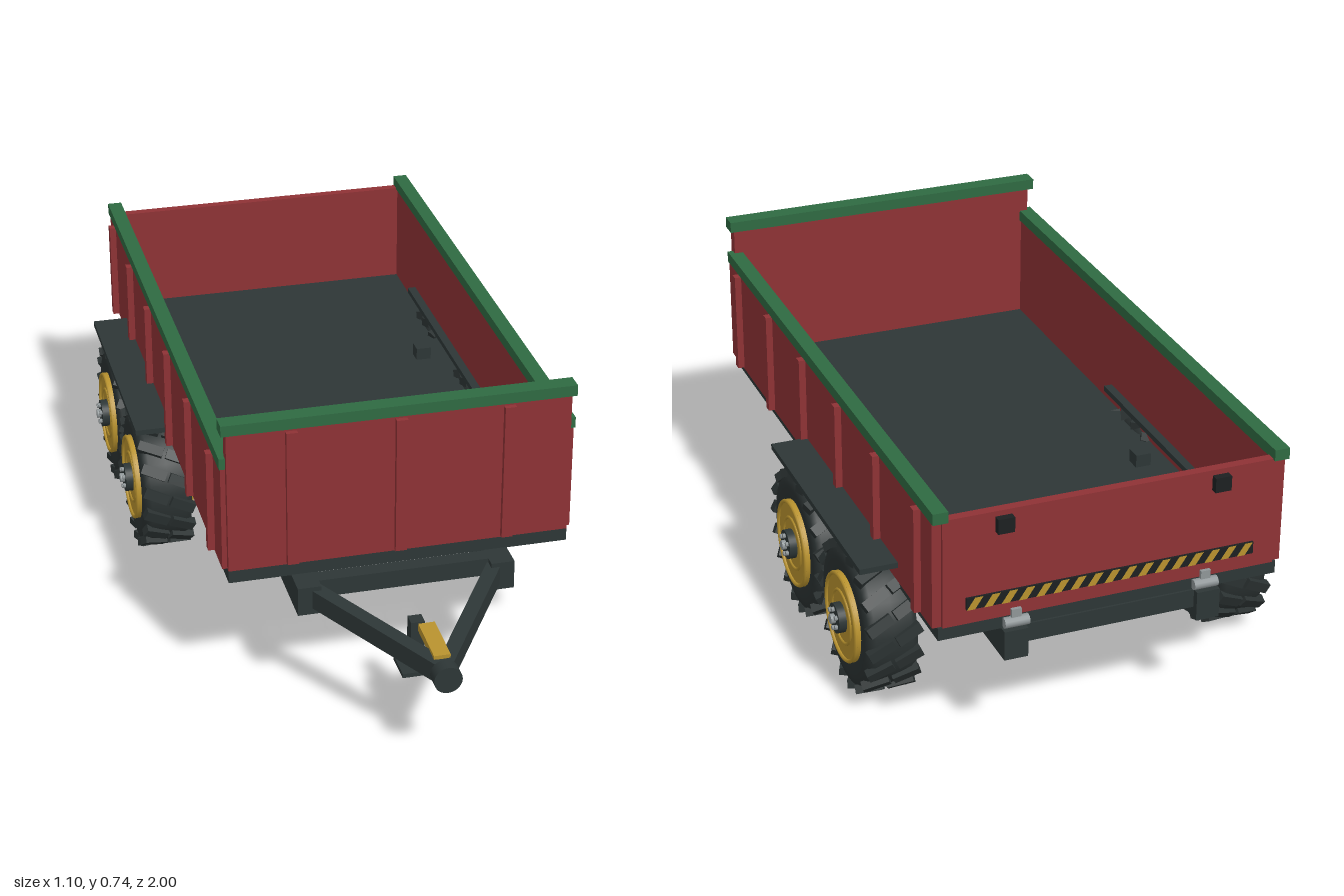
import * as THREE from 'three';

const mat = (name, color) => {
  const m = new THREE.MeshStandardMaterial({ color });
  m.name = name;
  return m;
};

export function createModel() {
  const red = mat('red panel', 0x8e3235), green = mat('green rail', 0x2f6a42);
  const dark = mat('dark frame', 0x2d3636), rubber = mat('tyre rubber', 0x2a3131);
  const gold = mat('gold yellow', 0xb8922e), steel = mat('steel grey', 0x8f9698);
  const black = mat('black fitting', 0x1c2021);
  const model = new THREE.Group();
  model.name = 'tipping trailer';

  const add = (name, geo, m, parent = model) => {
    const mesh = new THREE.Mesh(geo, m);
    mesh.name = name;
    parent.add(mesh);
    return mesh;
  };
  // Box given by its limits on each axis
  const box = (name, m, x0, x1, y0, y1, z0, z1, parent) => {
    const b = add(name, new THREE.BoxGeometry(x1 - x0, y1 - y0, z1 - z0), m, parent);
    b.position.set((x0 + x1) / 2, (y0 + y1) / 2, (z0 + z1) / 2);
    return b;
  };
  // Same box on both sides
  const pair = (name, m, x0, x1, ...r) => {
    box(name + 'Left', m, x0, x1, ...r);
    box(name + 'Right', m, -x1, -x0, ...r);
  };
  // Bar between two points
  const bar = (name, m, a, b, w, h) => {
    const p = new THREE.Vector3(...a), q = new THREE.Vector3(...b);
    const s = add(name, new THREE.BoxGeometry(w, h, p.distanceTo(q)), m);
    s.position.copy(p).lerp(q, 0.5);
    s.lookAt(q);
  };

  // Bed
  box('deck', dark, -0.42, 0.42, 0.315, 0.347, -0.975, 0.57);
  box('headboard', red, -0.42, 0.42, 0.345, 0.71, 0.54, 0.57);
  box('tailgate', red, -0.41, 0.41, 0.347, 0.62, -0.978, -0.955);
  pair('sideBoard', red, 0.402, 0.432, 0.347, 0.617, -0.97, 0.555);
  box('headboardRail', green, -0.432, 0.432, 0.71, 0.738, 0.528, 0.572);
  pair('sideRail', green, 0.398, 0.435, 0.617, 0.645, -0.985, 0.558);
  for (const x of [-0.265, 0, 0.265])
    box('headboardRib', red, x - 0.014, x + 0.014, 0.352, 0.705, 0.57, 0.583);
  for (let i = 0; i < 6; i++) {
    const z = 0.46 - i * 0.27;
    pair('sideRib', red, 0.43, 0.449, 0.352, 0.615, z - 0.011, z + 0.011);
  }

  // Rear fittings and hazard strip
  pair('tailgateLatch', black, 0.245, 0.285, 0.57, 0.607, -0.996, -0.975);
  box('hazardStrip', black, -0.355, 0.355, 0.385, 0.415, -0.984, -0.977);
  const n = 17, step = 0.71 / n;
  const slash = new THREE.Shape();
  slash.moveTo(0, 0);
  slash.lineTo(0.02, 0);
  slash.lineTo(0.04, 0.03);
  slash.lineTo(0.02, 0.03);
  slash.closePath();
  const slashGeo = new THREE.ShapeGeometry(slash).rotateY(Math.PI);
  for (let i = 0; i < n; i++)
    add('hazardStripe', slashGeo, gold).position.set(0.355 - i * step, 0.385, -0.9855);
  for (const s of [-1, 1]) {
    const pin = add('tailgateHinge', new THREE.CylinderGeometry(0.013, 0.013, 0.06, 12).rotateZ(Math.PI / 2), steel);
    pin.position.set(s * 0.235, 0.332, -0.983);
    box('hingeStrap', steel, s * 0.235 - 0.012, s * 0.235 + 0.012, 0.325, 0.365, -0.987, -0.976);
  }

  // Chassis
  pair('chassisBeam', dark, 0.21, 0.268, 0.242, 0.316, -0.997, 0.638);
  for (const z of [0.592, 0.2, -0.08, -0.41, -0.72, -0.96])
    box('crossMember', dark, -0.215, 0.215, 0.27, 0.316, z - 0.02, z + 0.02);
  pair('suspensionPost', dark, 0.31, 0.35, 0.18, 0.38, -0.44, -0.4);
  pair('rockerBeam', dark, 0.315, 0.345, 0.172, 0.205, -0.6, -0.225);
  pair('mudguard', dark, 0.38, 0.525, 0.384, 0.398, -0.75, -0.085);

  // Drawbar, coupling and jack
  for (const s of [-1, 1])
    bar('drawbar', dark, [s * 0.235, 0.284, 0.6], [0, 0.247, 0.965], 0.036, 0.048);
  const coupling = add('coupling', new THREE.CylinderGeometry(0.034, 0.034, 0.035, 24).rotateX(Math.PI / 2), dark);
  coupling.position.set(0, 0.248, 0.981);
  bar('couplingLever', gold, [0, 0.278, 0.81], [0, 0.273, 0.945], 0.04, 0.02);
  box('jackPost', dark, -0.017, 0.017, 0.115, 0.245, 0.705, 0.739);
  box('jackFoot', dark, -0.043, 0.043, 0.11, 0.121, 0.68, 0.764);

  // Wheel, axis along x, rim face symmetric
  const lathe = (pts, seg = 40) =>
    new THREE.LatheGeometry(pts.map(p => new THREE.Vector2(...p)), seg).rotateZ(-Math.PI / 2);
  const tyreGeo = lathe([[0.1, -0.055], [0.115, -0.062], [0.145, -0.065], [0.166, -0.06], [0.174, -0.045],
    [0.176, 0], [0.174, 0.045], [0.166, 0.06], [0.145, 0.065], [0.115, 0.062], [0.1, 0.055]]);
  const disc = (r, w) => new THREE.CylinderGeometry(r, r, w, 32).rotateZ(Math.PI / 2);
  const lugGeo = new THREE.BoxGeometry(0.066, 0.022, 0.026);
  const ringGeo = new THREE.TorusGeometry(0.066, 0.004, 6, 32).rotateY(Math.PI / 2);
  const lipGeo = new THREE.TorusGeometry(0.107, 0.005, 6, 40).rotateY(Math.PI / 2);
  const LUGS = 18;

  const makeWheel = (side) => {
    const w = new THREE.Group();
    w.name = 'wheel';
    add('tyre', tyreGeo, rubber, w);
    for (let i = 0; i < LUGS * 2; i++) {
      const half = i % 2 ? 1 : -1;
      const pivot = new THREE.Group();
      pivot.name = 'treadLug';
      pivot.rotation.x = (i / (LUGS * 2)) * Math.PI * 2;
      const lug = add('lug', lugGeo, rubber, pivot);
      lug.position.set(half * 0.034, 0.175, 0);
      lug.rotation.y = side * 0.45;
      w.add(pivot);
    }
    add('rim', disc(0.111, 0.14), gold, w);
    add('hub', disc(0.037, 0.178), dark, w);
    add('axleEnd', disc(0.012, 0.2), steel, w);
    for (const f of [-1, 1]) {
      add('rimLip', lipGeo, gold, w).position.x = f * 0.072;
      add('rimRing', ringGeo, gold, w).position.x = f * 0.07;
      for (let k = 0; k < 6; k++) {
        const a = (k / 6) * Math.PI * 2;
        const bolt = add('wheelBolt', new THREE.CylinderGeometry(0.006, 0.006, 0.008, 6).rotateZ(Math.PI / 2), steel, w);
        bolt.position.set(f * 0.092, Math.cos(a) * 0.025, Math.sin(a) * 0.025);
      }
    }
    return w;
  };

  // Axles, spacers and wheels
  for (const z of [-0.225, -0.6]) {
    box('axle', dark, -0.39, 0.39, 0.17, 0.206, z - 0.018, z + 0.018);
    pair('axleSpacer', dark, 0.213, 0.265, 0.2, 0.232, z - 0.04, z + 0.04);
    for (const s of [-1, 1]) {
      const w = makeWheel(s);
      w.position.set(s * 0.45, 0.188, z);
      model.add(w);
    }
  }
  return model;
}
